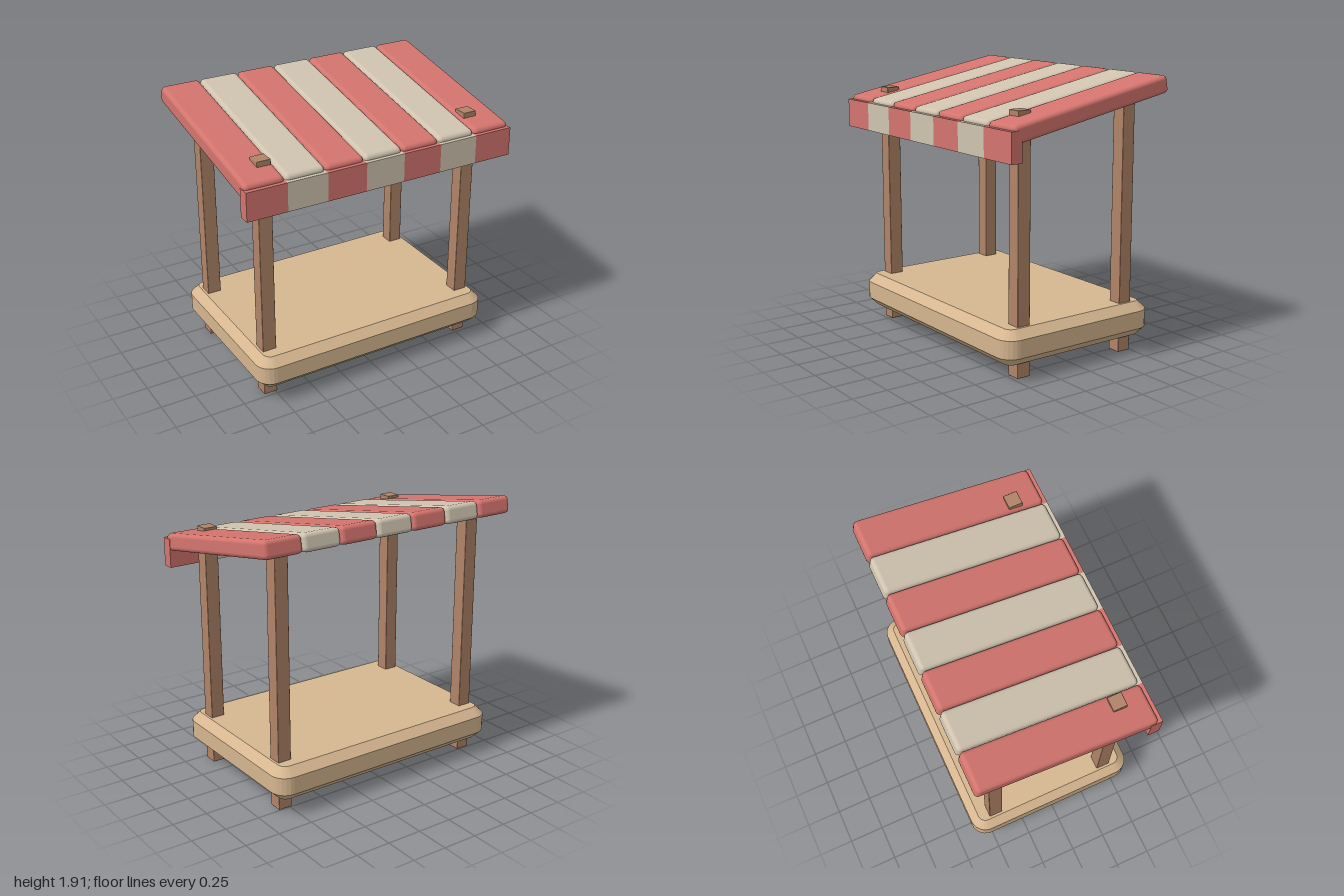
import * as THREE from 'three';
import { RoundedBoxGeometry } from 'three/addons/geometries/RoundedBoxGeometry.js';

const material = (name, color) => {
  const m = new THREE.MeshStandardMaterial({ color });
  m.name = name;
  return m;
};

// Rectangle with rounded corners, centred on the origin
function roundedRect(w, d, r) {
  const x = w / 2, y = d / 2, s = new THREE.Shape();
  s.absarc(x - r, y - r, r, 0, Math.PI / 2);
  s.absarc(-x + r, y - r, r, Math.PI / 2, Math.PI);
  s.absarc(-x + r, -y + r, r, Math.PI, Math.PI * 1.5);
  s.absarc(x - r, -y + r, r, Math.PI * 1.5, Math.PI * 2);
  s.closePath();
  return s;
}

export function createModel() {
  const red = material('awning red', 0xd4746e);
  const cream = material('awning cream', 0xd0c4b0);
  const postWood = material('post wood', 0xb08468);
  const deckWood = material('deck wood', 0xd6b690);

  const model = new THREE.Group();
  model.name = 'marketStall';
  const add = (name, geometry, mat, x, y, z, parent = model) => {
    const mesh = new THREE.Mesh(geometry, mat);
    mesh.name = name;
    mesh.position.set(x, y, z);
    parent.add(mesh);
    return mesh;
  };

  // Platform: chamfered slab with rounded corners
  const bevel = 0.058;
  const deck = new THREE.ExtrudeGeometry(roundedRect(1.82 - 2 * bevel, 1.245 - 2 * bevel, 0.055), {
    depth: 0.24 - 2 * bevel,
    bevelSize: bevel,
    bevelThickness: bevel,
    bevelSegments: 1,
    curveSegments: 3,
  });
  deck.rotateX(-Math.PI / 2);
  add('platform', deck, deckWood, 0, 0.11 + bevel, -0.008);

  // Four posts; the front pair pokes through the awning
  const post = new RoundedBoxGeometry(0.1, 1.747, 0.1, 1, 0.005);
  for (const side of [1, -1]) {
    const label = side > 0 ? 'Left' : 'Right';
    add('front' + label + 'Post', post, postWood, side * 0.785, 0.8735, 0.425);
    add('back' + label + 'Post', post, postWood, side * 0.785, 0.8735, -0.446);
  }

  // Sloping awning of seven padded strips, with a striped valance along the front
  const awning = new THREE.Group();
  awning.name = 'awning';
  awning.position.set(0, 1.739, -0.012);
  awning.rotation.x = THREE.MathUtils.degToRad(10.6);
  const valance = new THREE.Group();
  valance.name = 'valance';
  model.add(awning, valance);

  const count = 7, pitch = 2 / count;
  const strip = new RoundedBoxGeometry(pitch - 0.006, 0.122, 1.28, 2, 0.03);
  const flap = new THREE.BoxGeometry(pitch, 0.2, 0.082);
  for (let i = 0; i < count; i++) {
    const x = -1 + (i + 0.5) * pitch;
    const mat = i % 2 ? cream : red;
    add('awningStrip' + (i + 1), strip, mat, x, 0, 0, awning);
    add('valancePanel' + (i + 1), flap, mat, x, 1.551, 0.61, valance);
  }
  return model;
}
